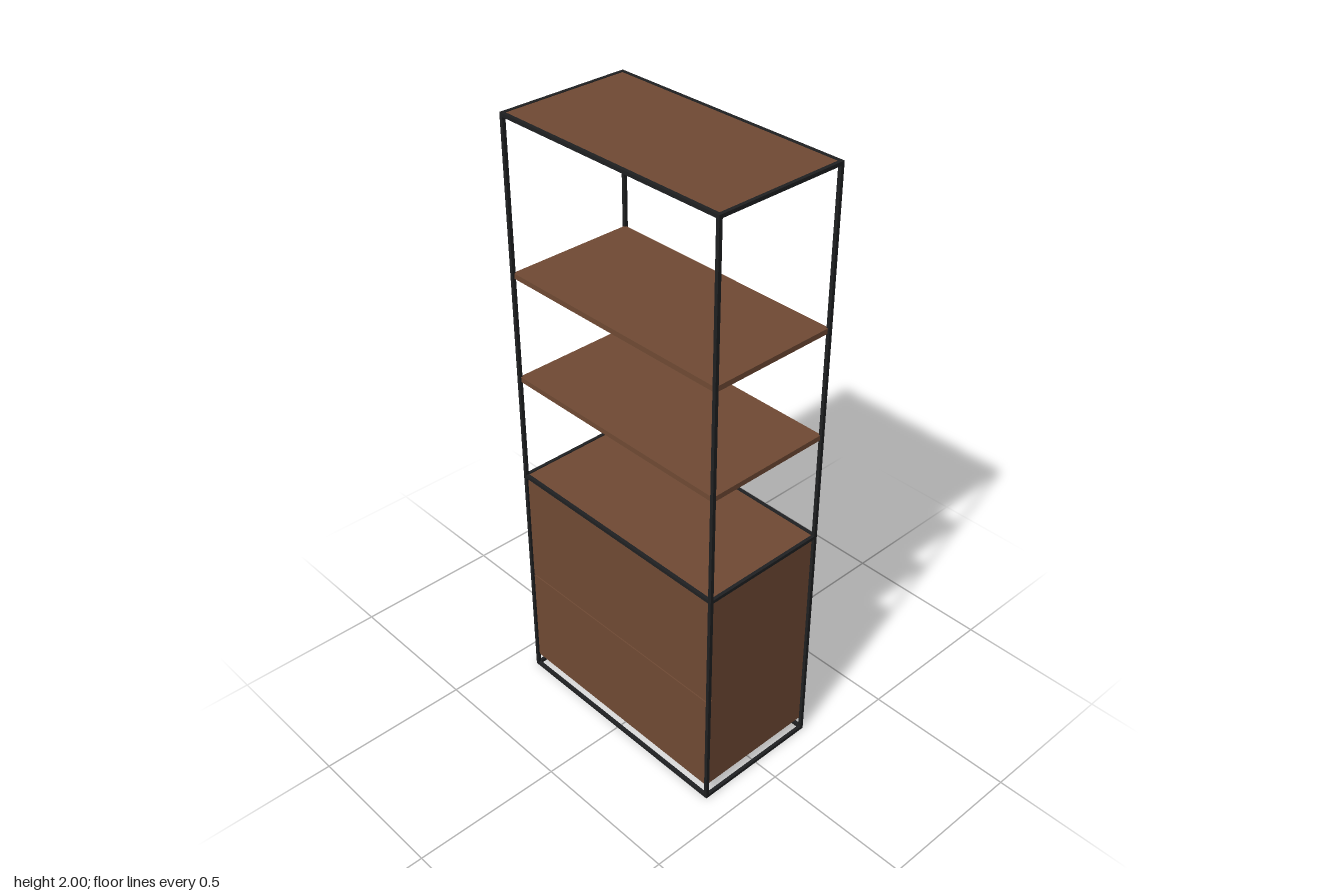
import * as THREE from 'three';

export function createModel() {
  const wood = new THREE.MeshStandardMaterial({ color: 0x704a34 });
  wood.name = 'brown wood';
  const metal = new THREE.MeshStandardMaterial({ color: 0x1f2022 });
  metal.name = 'black metal';

  const model = new THREE.Group();
  model.name = 'shelfCabinet';

  const W = 0.83, D = 0.44, H = 2, BAR = 0.011;
  const px = W / 2 - BAR / 2, pz = D / 2 - BAR / 2;

  function box(parent, name, mat, size, pos) {
    const mesh = new THREE.Mesh(new THREE.BoxGeometry(...size), mat);
    mesh.position.set(...pos);
    mesh.name = name;
    parent.add(mesh);
  }

  // Metal frame: four posts and three rectangular rings of rails
  const frame = new THREE.Group();
  frame.name = 'frame';
  model.add(frame);
  for (const sx of [-1, 1]) {
    for (const sz of [-1, 1]) {
      box(frame, 'post', metal, [BAR, H, BAR], [sx * px, H / 2, sz * pz]);
    }
  }
  for (const y of [BAR / 2, 0.8, H - BAR / 2]) {
    for (const s of [-1, 1]) {
      box(frame, 'longRail', metal, [W - 2 * BAR, BAR, BAR], [0, y, s * pz]);
      box(frame, 'sideRail', metal, [BAR, BAR, D - 2 * BAR], [s * px, y, 0]);
    }
  }

  // Open shelves, reaching into the posts
  for (const y of [1.157, 1.507]) {
    box(model, 'shelf', wood, [W - 0.012, 0.017, D - 0.012], [0, y, 0]);
  }
  // Top board inside the top rails
  box(model, 'topBoard', wood, [W - 2 * BAR, 0.017, D - 2 * BAR], [0, 1.99, 0]);

  // Cabinet body with two drawer fronts separated by a narrow gap
  const cabinet = new THREE.Group();
  cabinet.name = 'cabinet';
  model.add(cabinet);
  const base = 0.047, top = 0.803, front = 0.213, gap = 0.005;
  const w = 0.81, t = 0.018, back = -0.213;
  box(cabinet, 'cabinetBody', wood, [w, top - base, front - t - back],
    [0, (top + base) / 2, (front - t + back) / 2]);
  for (const [y0, y1] of [[base, 0.4 - gap / 2], [0.4 + gap / 2, top]]) {
    box(cabinet, 'drawerFront', wood, [w, y1 - y0, t], [0, (y0 + y1) / 2, front - t / 2]);
  }

  return model;
}
